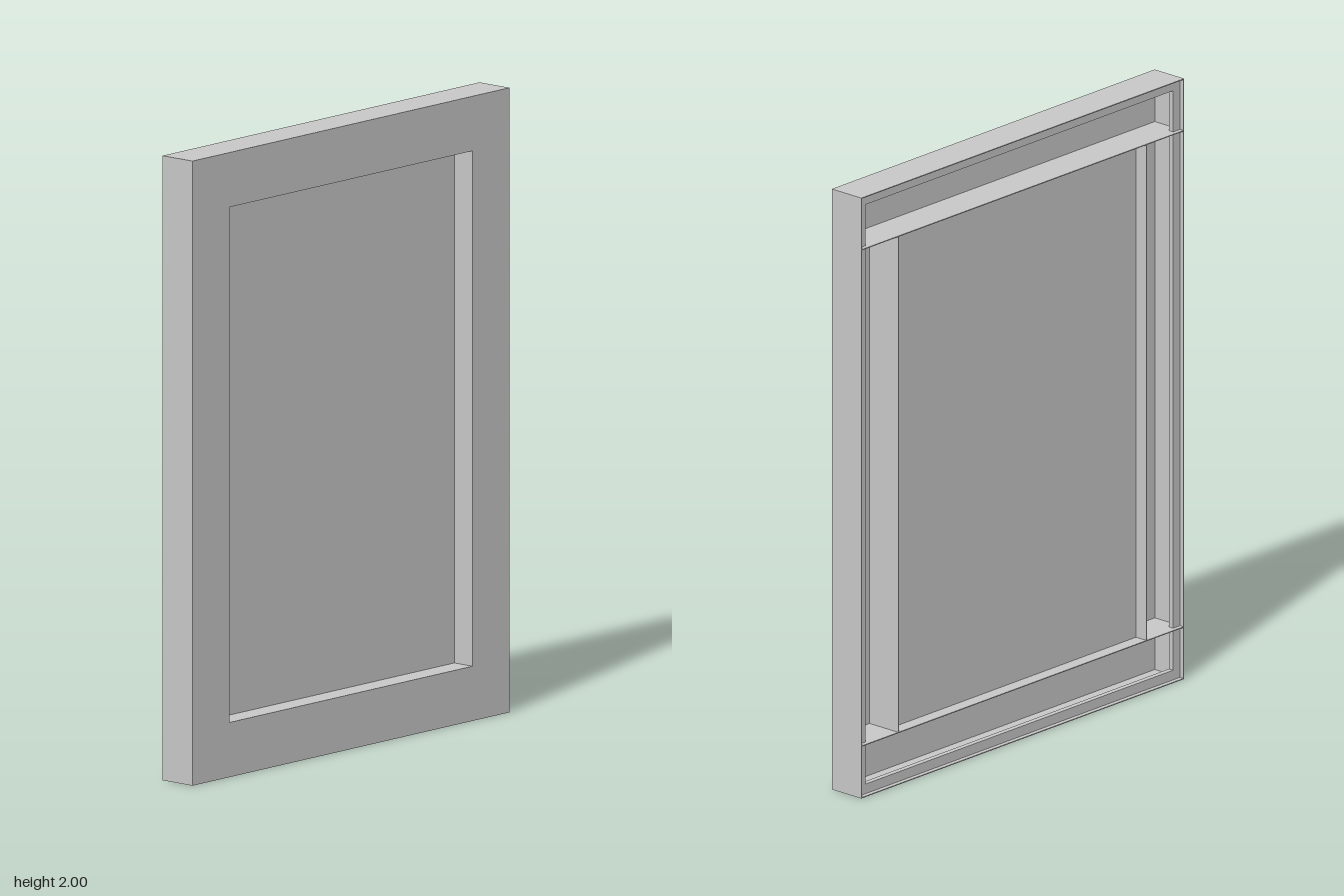
import * as THREE from 'three';

// Overall size, opening and sheet thickness
const W = 1.5, H = 2, D = 0.125, T = 0.003;
const OPEN_X = 0.575, OPEN_Y0 = 0.175, OPEN_Y1 = 1.825;

export function createModel() {
  const group = new THREE.Group();
  const grey = new THREE.MeshStandardMaterial({ color: 0xc8c8c8 });
  grey.name = 'lightGrey';

  const add = (name, geometry) => {
    const mesh = new THREE.Mesh(geometry, grey);
    mesh.name = name;
    group.add(mesh);
  };

  // Box given by its limits on each axis
  const box = (name, x0, x1, y0, y1, z0, z1) =>
    add(name, new THREE.BoxGeometry(x1 - x0, y1 - y0, z1 - z0)
      .translate((x0 + x1) / 2, (y0 + y1) / 2, (z0 + z1) / 2));

  // Rectangular ring given by outer and inner limits, from z0 to z1
  const rect = (Type, x, y0, y1) => new Type([
    new THREE.Vector2(-x, y0), new THREE.Vector2(x, y0),
    new THREE.Vector2(x, y1), new THREE.Vector2(-x, y1),
  ]);
  const ring = (name, outer, inner, z0, z1) => {
    const shape = rect(THREE.Shape, ...outer);
    shape.holes.push(rect(THREE.Path, ...inner));
    add(name, new THREE.ExtrudeGeometry(shape, { depth: z1 - z0, bevelEnabled: false })
      .translate(0, 0, z0));
  };
  const inset = (d) => [W / 2 - d, d, H - d];

  const back = -D / 2, front = D / 2;

  // Front face, thin outer wall and the rib running round inside it
  ring('frontFace', inset(0), [OPEN_X, OPEN_Y0, OPEN_Y1], front - T, front);
  ring('outerWall', inset(0), inset(T), back, front - T);
  ring('innerRib', inset(T), inset(0.035), back + 0.015, back + 0.033);

  // Rails across the full width, above and below the opening
  const railX = W / 2 - T;
  box('topRail', -railX, railX, OPEN_Y1, OPEN_Y1 + T, back, front - T);
  box('bottomRail', -railX, railX, OPEN_Y0 - T, OPEN_Y0, back, front - T);

  // Upright walls beside the opening
  for (const s of [-1, 1]) {
    const a = s * OPEN_X, b = s * (OPEN_X + T);
    box(s > 0 ? 'leftUpright' : 'rightUpright',
      Math.min(a, b), Math.max(a, b), OPEN_Y0, OPEN_Y1, back, front - T);
  }

  // Recessed centre panel
  box('centrePanel', -OPEN_X, OPEN_X, OPEN_Y0, OPEN_Y1, -0.018, -0.013);

  return group;
}
